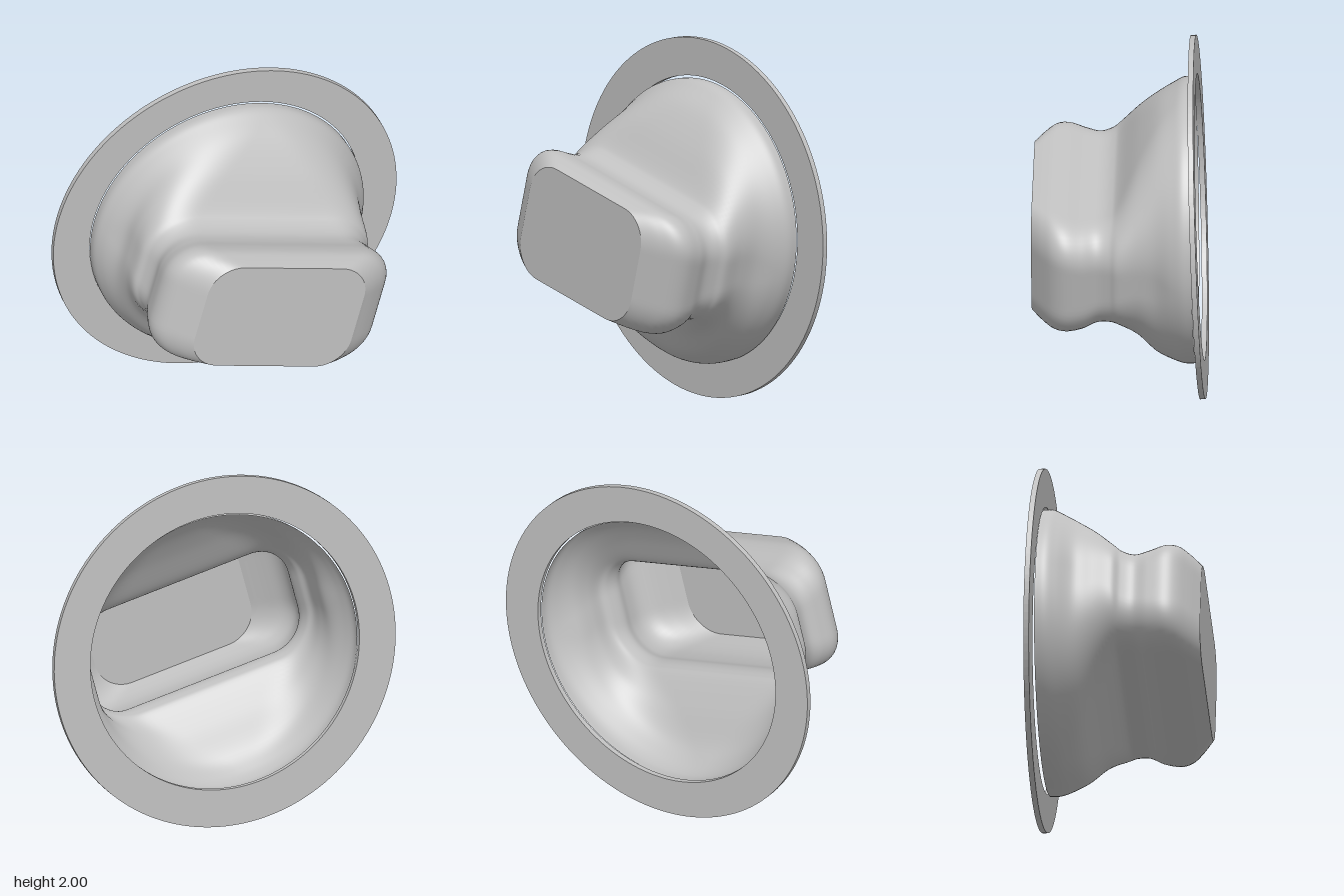
import * as THREE from 'three';

const TURN = -Math.PI / 12; // roll of the rounded rectangle
const SEG = 144, ROWS = 72;

// Distance from the centre to a rounded rectangle along angle a
// (p, q: half sizes of the core, r: corner radius)
function reach(a, p, q, r) {
  const c = Math.abs(Math.cos(a)), s = Math.abs(Math.sin(a));
  let lo = 0, hi = 2;
  for (let i = 0; i < 30; i++) {
    const m = (lo + hi) / 2;
    const d = Math.hypot(Math.max(c * m - p, 0), Math.max(s * m - q, 0));
    if (d < r) lo = m; else hi = m;
  }
  return lo;
}

// Cross-sections from the round rim to the front: z, p, q, r, centre y, rim tilt
const sections = [
  [-0.405, 0, 0, 0.788, 0.985, 0.019],
  [-0.35, 0.002, 0.002, 0.784, 0.984, 0.012],
  [-0.29, 0.02, 0.02, 0.735, 0.982, 0],
  [-0.2, 0.094, 0.073, 0.6, 0.978, 0],
  [-0.1, 0.23, 0.068, 0.45, 0.988, 0],
  [0, 0.398, 0.08, 0.28, 0.968, 0],
  [0.05, 0.425, 0.095, 0.225, 0.955, 0],
  [0.12, 0.433, 0.108, 0.2, 0.942, 0],
  [0.2, 0.455, 0.125, 0.2, 0.932, 0],
  [0.29, 0.465, 0.145, 0.2, 0.938, 0],
  [0.36, 0.435, 0.15, 0.2, 0.944, 0],
  [0.42, 0.372, 0.149, 0.192, 0.945, 0],
  [0.48, 0.292, 0.146, 0.18, 0.945, 0],
];

// Smooth curves through the section values
const spline = (k) => new THREE.CatmullRomCurve3(
  sections.map((s) => new THREE.Vector3(s[k], s[k + 1], s[k + 2])), false, 'catmullrom', 0.5);
const curveA = spline(0), curveB = spline(3);

function ringPoints(t) {
  const { x: z, y: p, z: q } = curveA.getPoint(t);
  const { x: r, y: cy, z: tilt } = curveB.getPoint(t);
  const pts = [];
  for (let j = 0; j < SEG; j++) {
    const a = (j / SEG) * Math.PI * 2;
    const d = reach(a - TURN, Math.max(p, 0), Math.max(q, 0), r);
    const y = Math.sin(a) * d;
    pts.push(new THREE.Vector3(Math.cos(a) * d, cy + y, z + tilt * y));
  }
  return pts;
}

// Open shell that changes from a circle into a rolled rounded rectangle
function shellGeometry() {
  const pos = [], index = [];
  for (let i = 0; i <= ROWS; i++) {
    for (const v of ringPoints(i / ROWS)) pos.push(v.x, v.y, v.z);
    if (i === ROWS) break;
    for (let j = 0; j < SEG; j++) {
      const a = i * SEG + j, b = i * SEG + (j + 1) % SEG;
      index.push(a, b, b + SEG, a, b + SEG, a + SEG);
    }
  }
  const g = new THREE.BufferGeometry();
  g.setAttribute('position', new THREE.Float32BufferAttribute(pos, 3));
  g.setIndex(index);
  g.computeVertexNormals();
  return g;
}

export function createModel() {
  const group = new THREE.Group();
  const grey = new THREE.MeshStandardMaterial({ color: 0xc0c0c0, side: THREE.DoubleSide });
  grey.name = 'light grey';
  const add = (name, geometry) => {
    const mesh = new THREE.Mesh(geometry, grey);
    mesh.name = name;
    group.add(mesh);
    return mesh;
  };

  add('shell', shellGeometry());

  // Flat front face
  const face = new THREE.Shape(ringPoints(1).map((v) => new THREE.Vector2(v.x, v.y)));
  add('frontFace', new THREE.ShapeGeometry(face)).position.z = 0.48;

  // Slightly tilted flat ring around the rim
  const disc = new THREE.Shape().absarc(0, 0, 1, 0, Math.PI * 2, false);
  disc.holes.push(new THREE.Path().absarc(0, 0, 0.788, 0, Math.PI * 2, true));
  const ring = new THREE.ExtrudeGeometry(disc, { depth: 0.03, bevelEnabled: false, curveSegments: 72 });
  ring.translate(0, 0, -0.015);
  const flange = add('flange', ring);
  flange.position.set(0, 1, -0.425);
  flange.rotation.x = 0.035;

  return group;
}
